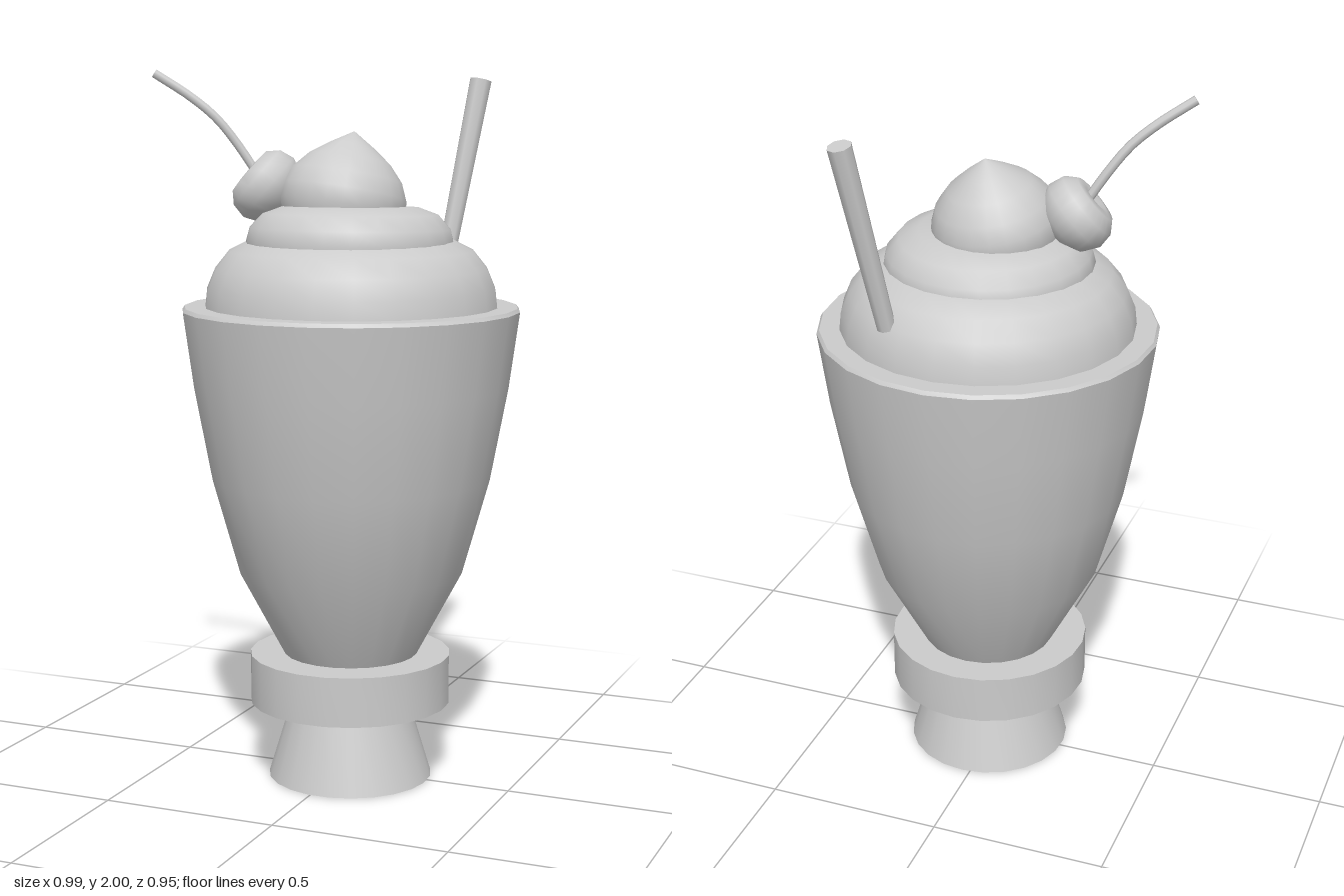
import * as THREE from 'three';
import { toCreasedNormals } from 'three/addons/utils/BufferGeometryUtils.js';

const material = new THREE.MeshStandardMaterial({ color: 0xcccccc });
const UP = new THREE.Vector3(0, 1, 0);

function addMesh(parent, name, geometry) {
  const mesh = new THREE.Mesh(geometry, material);
  mesh.name = name;
  parent.add(mesh);
  return mesh;
}

// Turned part: profile is [radius, height] from bottom to top
function turned(parent, name, profile, [x, y, z], crease = 0.6) {
  const points = profile.map(([r, h]) => new THREE.Vector2(r, h));
  const geometry = toCreasedNormals(new THREE.LatheGeometry(points, 23, Math.PI), crease);
  const mesh = addMesh(parent, name, geometry);
  mesh.position.set(x, y, z);
  return mesh;
}

export function createModel() {
  const model = new THREE.Group();
  model.name = 'milkshake';

  // Glass: flared foot, collar and tall bowl
  turned(model, 'foot', [[0, 0], [0.233, 0], [0.163, 0.23], [0, 0.23]], [0.025, 0, 0.013]);
  turned(model, 'collar', [[0, 0.22], [0.285, 0.22], [0.285, 0.36], [0, 0.36]], [0.025, 0, 0.013]);
  turned(model, 'cup', [
    [0, 0.35], [0.185, 0.35], [0.318, 0.6], [0.394, 0.87], [0.443, 1.13],
    [0.472, 1.34], [0.465, 1.35], [0, 1.35],
  ], [0.025, 0, 0.008]);

  // Three swirls of whipped cream
  turned(model, 'lowerCream', [
    [0.409, 1.345], [0.403, 1.4], [0.38, 1.455], [0.34, 1.505], [0.28, 1.535], [0, 1.56],
  ], [0.025, 0, 0.006], 0.9);
  const middle = turned(model, 'middleCream', [
    [0.285, -0.03], [0.29, 0], [0.28, 0.04], [0.245, 0.08], [0.19, 0.1], [0, 0.11],
  ], [0.025, 1.525, 0.015], 0.9);
  middle.rotation.x = -0.03;
  const peak = turned(model, 'creamPeak', [
    [0, -0.05], [0.16, -0.04], [0.178, 0], [0.174, 0.045], [0.155, 0.09], [0.115, 0.135],
    [0.06, 0.175], [0, 0.213],
  ], [0.003, 1.622, 0.02], 0.9);
  peak.rotation.set(-0.18, 0, -0.1);

  // Cherry, tipped towards its stem, with a dimple at the top
  const cherry = turned(model, 'cherry', [
    [0, -0.075], [0.05, -0.07], [0.088, -0.045], [0.108, 0], [0.1, 0.042],
    [0.072, 0.07], [0.04, 0.073], [0.015, 0.06], [0, 0.055],
  ], [-0.203, 1.675, 0.058], 1.2);
  cherry.quaternion.setFromUnitVectors(UP, new THREE.Vector3(-0.7, 0.65, 0.28).normalize());

  // Curved stem with closed ends
  const path = new THREE.CatmullRomCurve3([
    [-0.225, 1.705, 0.07], [-0.285, 1.8, 0.092], [-0.336, 1.868, 0.115],
    [-0.4, 1.925, 0.142], [-0.49, 1.988, 0.181],
  ].map((p) => new THREE.Vector3(...p)));
  const stem = new THREE.Group();
  stem.name = 'cherryStem';
  model.add(stem);
  addMesh(stem, 'stemTube', new THREE.TubeGeometry(path, 12, 0.013, 8));
  const cap = addMesh(stem, 'stemEnd', new THREE.CircleGeometry(0.013, 8));
  cap.position.copy(path.getPoint(1));
  cap.quaternion.setFromUnitVectors(new THREE.Vector3(0, 0, 1), path.getTangent(1));

  // Slightly tapered straw leaning out at the back
  const low = new THREE.Vector3(0.181, 1.45, -0.33);
  const high = new THREE.Vector3(0.246, 1.972, -0.441);
  const straw = addMesh(model, 'straw',
    new THREE.CylinderGeometry(0.033, 0.026, low.distanceTo(high), 8));
  straw.position.lerpVectors(low, high, 0.5);
  straw.quaternion.setFromUnitVectors(UP, high.clone().sub(low).normalize());

  return model;
}
